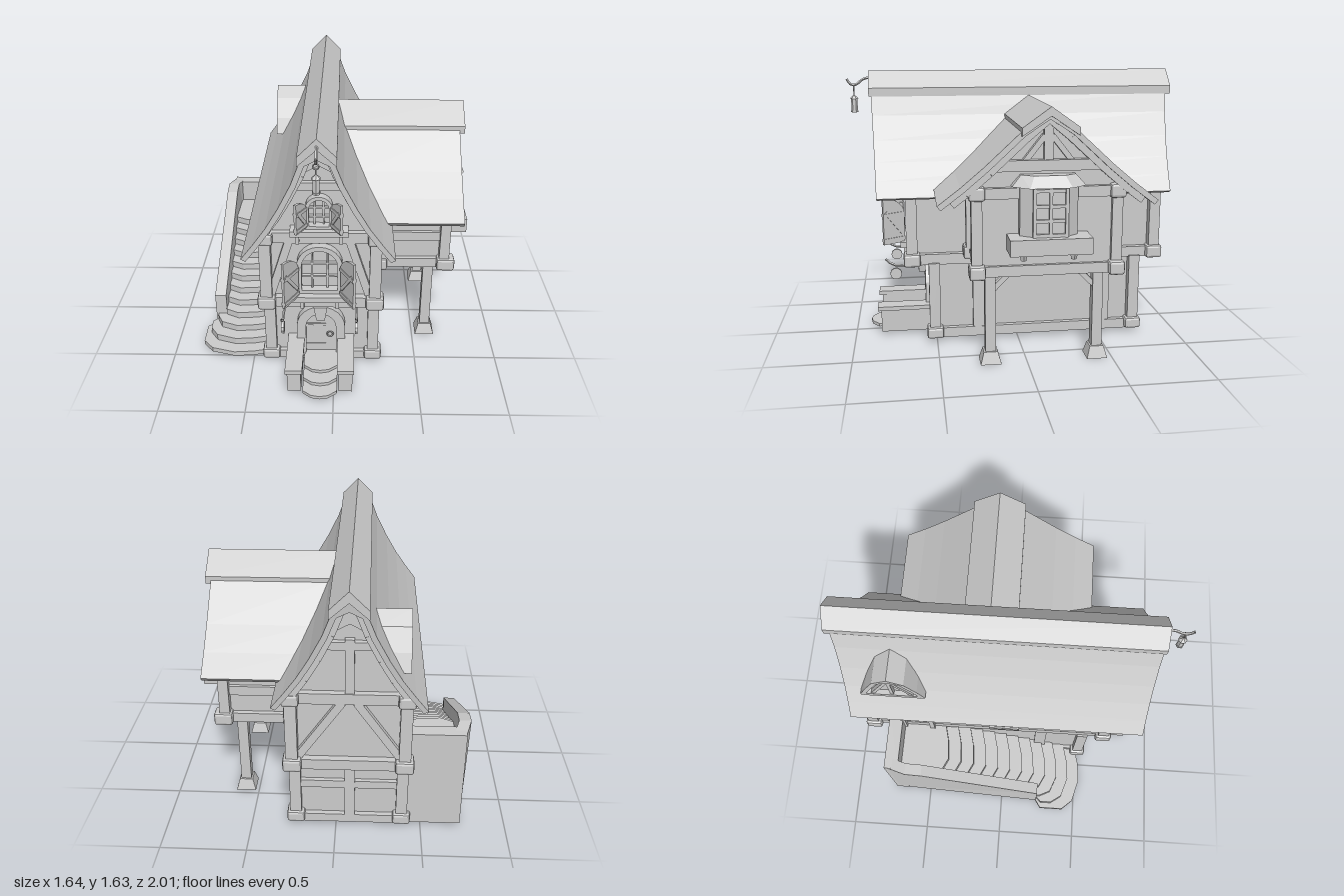
import * as THREE from 'three';
import { RoundedBoxGeometry } from 'three/addons/geometries/RoundedBoxGeometry.js';

const CX = -0.08, CZ = -0.1; // ridge lines of house and wing
const ROOF = [[0, 1.58], [0.09, 1.49], [0.135, 1.37], [0.205, 1.23], [0.275, 1.11], [0.345, 1.01], [0.413, 0.92]];
const WING = [[0, 1.45], [0.15, 1.35], [0.35, 1.165], [0.48, 1.055], [0.605, 0.96]];
const mat = new THREE.MeshStandardMaterial({ color: 0xcccccc, flatShading: true, side: THREE.DoubleSide });

export function createModel() {
  const root = new THREE.Group();
  let into = root;
  const V = (x, y, z) => new THREE.Vector3(x, y, z);
  const add = (name, geo, x = 0, y = 0, z = 0) => {
    const m = new THREE.Mesh(geo, mat);
    m.name = name;
    m.position.set(x, y, z);
    into.add(m);
    return m;
  };
  // box given by its limits
  const box = (name, x0, x1, y0, y1, z0, z1) =>
    add(name, new THREE.BoxGeometry(x1 - x0, y1 - y0, z1 - z0), (x0 + x1) / 2, (y0 + y1) / 2, (z0 + z1) / 2);
  const block = (name, x, y, z, w = 0.105, h = 0.08, d = 0.1) =>
    add(name, new RoundedBoxGeometry(w, h, d, 1, 0.015), x, y, z);
  // timber between two points
  const bar = (name, a, b, sx, sz) => {
    const d = b.clone().sub(a);
    const m = add(name, new THREE.BoxGeometry(sx, d.length(), sz));
    m.position.copy(a).add(b).multiplyScalar(0.5);
    m.quaternion.setFromUnitVectors(V(0, 1, 0), d.normalize());
  };
  // timbers following a roof line, stopping short of the eave
  const rafters = (name, points, sx, sz) => {
    const end = points.length - 1;
    points[end].lerp(points[end - 1], 0.4);
    for (let i = 0; i < end; i++) bar(name, points[i], points[i + 1], sx, sz);
  };
  const poly = pts => new THREE.Shape(pts.map(p => new THREE.Vector2(p[0], p[1])));
  const extrude = (shape, depth) =>
    new THREE.ExtrudeGeometry(shape, { depth, bevelEnabled: false, curveSegments: 6 });
  const mirror = half => [...half.slice().reverse().map(([d, y]) => [-d, y]), ...half.slice(1)];
  // symmetric roof section with thickness
  const chevron = (half, dx, dy, peak) => {
    const under = half.map(([d, y], i) => i ? [d - dx, y - dy] : [0, y - peak]);
    return poly([...mirror(half), ...mirror(under).reverse()]);
  };
  const moveVerts = (geo, fn) => {
    const p = geo.attributes.position, v = V(0, 0, 0);
    for (let i = 0; i < p.count; i++) {
      fn(v.fromBufferAttribute(p, i));
      p.setXYZ(i, v.x, v.y, v.z);
    }
    geo.computeVertexNormals();
    return geo;
  };
  // horizontal outline of [x, z] raised from y0 to y1
  const slab = (name, pts, y0, y1) =>
    add(name, extrude(poly(pts.map(([x, z]) => [x, -z])), y1 - y0).rotateX(-Math.PI / 2), 0, y0, 0);
  const roofX = y => { // half width of the main roof at a height
    for (let i = 1; i < ROOF.length; i++) {
      const [d0, y0] = ROOF[i - 1], [d1, y1] = ROOF[i];
      if (y >= y1) return d0 + (d1 - d0) * Math.min(1, Math.max(0, (y0 - y) / (y0 - y1)));
    }
    return 0.41;
  };
  const group = (name, x, y, z, ry, fn) => {
    const g = new THREE.Group(), old = into;
    g.name = name;
    g.position.set(x, y, z);
    g.rotation.y = ry;
    old.add(g);
    into = g;
    fn();
    into = old;
  };
  const arch = (s, w, h, y = 0) => {
    s.moveTo(-w / 2, y);
    s.lineTo(w / 2, y);
    s.lineTo(w / 2, h - w / 2);
    s.absarc(0, h - w / 2, w / 2, 0, Math.PI, false);
    s.closePath();
    return s;
  };
  const archFrame = (name, w, h, t, depth, y = 0.001) => {
    const s = arch(new THREE.Shape(), w, h);
    s.holes.push(arch(new THREE.Path(), w - 2 * t, h - t, y));
    add(name, extrude(s, depth));
  };
  const archWindow = (w, h, t) => {
    archFrame('windowFrame', w, h, t, 0.05, t);
    for (const x of [-w / 6, w / 6]) box('mullion', x - 0.005, x + 0.005, t, h - t * 1.3, 0, 0.02);
    for (const k of [0.33, 0.6]) box('glazingBar', -w / 2 + t, w / 2 - t, h * k - 0.005, h * k + 0.005, 0, 0.02);
  };
  // open shutter, swung outward from its hinge
  const shutter = (s, w, h, x, y, z) => group('shutter', x, y, z, -s * 1.05, () => {
    const sh = new THREE.Shape();
    sh.moveTo(0, 0);
    sh.lineTo(s * w, 0);
    sh.lineTo(s * w, h);
    sh.quadraticCurveTo(s * w * 0.2, h * 0.97, 0, h * 0.68);
    sh.closePath();
    add('shutterBoard', extrude(sh, 0.015));
    bar('shutterBrace', V(s * 0.015, h * 0.2, 0.008), V(s * (w - 0.015), h * 0.7, 0.008), 0.02, 0.025);
    for (const k of [0.06, 0.6]) box('shutterRail', Math.min(0, s * w), Math.max(0, s * w), h * k, h * k + 0.02, -0.005, 0.02);
  });

  // House walls, the lower storey open underneath
  const lower = poly([[-0.38, -0.51], [0.22, -0.51], [0.22, 0.73], [-0.38, 0.73]]);
  lower.holes.push(poly([[-0.35, -0.48], [0.19, -0.48], [0.19, 0.7], [-0.35, 0.7]]));
  add('lowerWalls', extrude(lower, 0.49).rotateX(-Math.PI / 2), 0, 0.03, 0);
  const gable = [[0, 1.54], [0.07, 1.46], [0.11, 1.35], [0.18, 1.21], [0.25, 1.09], [0.3, 1.01], [0.3, 0.5]];
  add('upperWalls', extrude(poly(mirror(gable)), 1.45), CX, 0, -0.83);

  // House timber frame
  for (const x of [-0.385, 0.235]) {
    const s = x < 0 ? -1 : 1, wx = x - s * 0.005;
    for (const z of [0.51, -0.73]) {
      box('lowerPost', x - 0.033, x + 0.033, 0.05, 0.5, z - 0.033, z + 0.033);
      block('postFoot', x, 0.06, z, 0.105, 0.07, 0.1);
    }
    for (const z of [0.64, -0.85]) {
      box('upperPost', x - 0.033, x + 0.033, 0.52, 0.95, z - 0.033, z + 0.033);
      block('postBlock', x, 0.525, z);
      block('postHead', x, 0.945, z, 0.095, 0.075, 0.09);
    }
    box('sillBeam', wx - 0.02, wx + 0.02, 0.02, 0.08, -0.73, 0.51);
    box('floorBeam', wx - 0.025, wx + 0.025, 0.49, 0.555, -0.85, 0.64);
    box('eaveBeam', wx - 0.02, wx + 0.02, 0.91, 0.96, -0.85, 0.64);
    for (const z of [0.24, -0.54]) box('sideStud', wx - 0.018, wx + 0.018, 0.08, 0.5, z - 0.037, z + 0.037);
  }
  for (const [s, low, up] of [[1, 0.52, 0.63], [-1, -0.74, -0.84]]) {
    box('endSill', -0.385, 0.235, 0.02, 0.075, low - 0.02, low + 0.02);
    box('endFloorBeam', -0.385, 0.235, 0.49, 0.555, up - 0.03, up + 0.03);
    box('endTieBeam', -0.385, 0.235, 0.915, 0.98, up - 0.025, up + 0.025);
    for (const m of [-1, 1]) {
      rafters('gableRafter', ROOF.slice(1).map(([d, y]) => V(CX + m * (d - 0.038), y - 0.03, up + s * 0.02)), 0.045, 0.06);
      bar('cornerBrace', V(CX + m * 0.28, 0.57, up), V(CX + m * (s > 0 ? 0.17 : 0.04), 0.92, up), 0.045, 0.04);
    }
    box('collarBeam', CX - 0.12, CX + 0.12, 1.24, 1.285, up - 0.02, up + 0.02);
    add('gablePeak', extrude(poly([[-0.09, 1.34], [0, 1.39], [0.09, 1.34], [0, 1.53]]), 0.05), CX, 0, up - 0.02);
  }
  box('backStud', -0.11, -0.05, 0.07, 0.5, -0.76, -0.72);
  box('backRail', -0.385, 0.235, 0.27, 0.32, -0.755, -0.72);
  box('backKingPost', CX - 0.025, CX + 0.025, 0.95, 1.3, -0.86, -0.82);

  // Main roof, its ends drawn in toward the eaves
  const mainRoof = extrude(chevron(ROOF, 0.026, 0.014, 0.07), 1);
  add('mainRoof', moveVerts(mainRoof, v => {
    const k = (1.58 - v.y) / 0.66;
    v.z = v.z > 0.5 ? 0.86 - 0.025 * k : -0.98 + 0.06 * k;
  }), CX);
  add('ridgeCap', extrude(chevron([[0, 1.63], [0.1, 1.53]], 0, 0.05, 0.06), 1.87), CX, 0, -1);

  // Side wing
  const alongX = (shape, len) => extrude(shape, len).rotateY(Math.PI / 2);
  add('wingWalls', alongX(poly(mirror([[0, 1.41], [0.14, 1.32], [0.34, 1.14], [0.37, 1.11], [0.37, 0.56]])), 0.5), 0.17, 0, CZ);
  const wingRoof = alongX(chevron(WING, 0.02, 0.025, 0.04), 1);
  add('wingRoof', moveVerts(wingRoof, v => {
    v.x = v.x > 0.5 ? 0.74 : CX + roofX(v.y) - 0.012;
  }), 0, 0, CZ);
  add('wingRidgeCap', alongX(chevron([[0, 1.48], [0.155, 1.37]], 0, 0.045, 0.05), 0.75), 0.02, 0, CZ);
  box('wingFloor', 0.2, 0.69, 0.54, 0.6, -0.5, 0.3);
  for (const s of [-1, 1]) {
    const z = CZ + s * 0.39, zs = CZ + s * 0.31;
    for (const x of [0.29, 0.665]) {
      box('wingPost', x - 0.03, x + 0.03, 0.56, 1.0, z - 0.03, z + 0.03);
      block('wingPostBlock', x < 0.5 ? 0.265 : 0.675, 0.572, z, 0.11, 0.08, 0.09);
    }
    block('wingPostHead', 0.67, 1.01, z, 0.09, 0.08, 0.09);
    box('wingRail', 0.25, 0.68, 0.72, 0.78, z - s * 0.015 - 0.015, z - s * 0.015 + 0.015);
    box('wingEaveBeam', 0.25, 0.68, 0.97, 1.03, z - 0.02, z + 0.02);
    // stilts with tapered feet
    box('stilt', 0.55, 0.612, 0.04, 0.55, zs - 0.03, zs + 0.03);
    add('stiltFoot', new THREE.CylinderGeometry(0.057, 0.085, 0.07, 4).rotateY(Math.PI / 4), 0.581, 0.035, zs);
    bar('stiltBrace', V(0.581, 0.42, zs), V(0.581, 0.54, zs - s * 0.12), 0.04, 0.03);
    rafters('wingRafter', WING.map(([d, y]) => V(0.69, y - 0.04, CZ + s * Math.max(0, d - 0.03))), 0.06, 0.04);
    bar('wingGableBrace', V(0.68, 1.18, CZ + s * 0.13), V(0.68, 1.32, CZ + s * 0.02), 0.04, 0.03);
  }
  box('wingTieBeam', 0.65, 0.7, 0.98, 1.04, -0.49, 0.29);
  box('wingCollar', 0.65, 0.71, 1.13, 1.19, CZ - 0.32, CZ + 0.32);
  box('wingKingPost', 0.65, 0.7, 1.17, 1.4, CZ - 0.025, CZ + 0.025);

  // Bay window with a hipped roof
  const bay = k => [[0.66, CZ + 0.16 * k], [0.72, CZ + 0.16 * k], [0.69 + 0.08 * k, CZ + 0.09 * k],
    [0.69 + 0.08 * k, CZ - 0.09 * k], [0.72, CZ - 0.16 * k], [0.66, CZ - 0.16 * k]];
  slab('bayBody', bay(1), 0.76, 1.06);
  const bayRoof = slab('bayRoof', bay(1.27), 1.05, 1.11);
  moveVerts(bayRoof.geometry, v => {
    if (v.y > 0.03) { v.z = CZ + (v.z - CZ) * 0.74; v.x = 0.66 + (v.x - 0.66) * 0.6; }
  });
  box('flowerBox', 0.67, 0.82, 0.69, 0.78, CZ - 0.225, CZ + 0.225);
  for (const z of [0.04, -0.24]) add('bayBracket', new THREE.CylinderGeometry(0.025, 0.015, 0.05, 4), 0.73, 0.665, z);
  for (const z of [-0.012, -0.1, -0.188]) box('bayMullion', 0.76, 0.785, 0.78, 1.05, z - 0.009, z + 0.009);
  for (const y of [0.79, 0.87, 0.95, 1.035]) box('bayGlazingBar', 0.76, 0.783, y - 0.009, y + 0.009, -0.19, -0.01);

  // Front windows with open shutters
  group('frontWindow', CX, 0.585, 0.62, 0, () => archWindow(0.26, 0.315, 0.028));
  group('atticWindow', CX, 1.01, 0.62, 0, () => archWindow(0.15, 0.2, 0.02));
  for (const s of [-1, 1]) {
    shutter(s, 0.145, 0.29, CX + s * 0.13, 0.585, 0.68);
    shutter(s, 0.1, 0.18, CX + s * 0.08, 1.025, 0.665);
    box('sillBracket', CX + s * 0.1 - 0.01, CX + s * 0.1 + 0.01, 0.5, 0.56, 0.65, 0.69);
    box('atticBracket', CX + s * 0.12 - 0.01, CX + s * 0.12 + 0.01, 0.93, 0.98, 0.65, 0.69);
  }
  box('frontSill', CX - 0.17, CX + 0.17, 0.555, 0.59, 0.62, 0.71);
  box('atticSill', CX - 0.16, CX + 0.16, 0.98, 1.012, 0.62, 0.7);

  // Front door, surround and porch
  group('frontDoor', CX, 0.05, 0.5, 0, () => {
    archFrame('doorSurround', 0.29, 0.37, 0.055, 0.06);
    box('doorLeaf', -0.09, 0.09, 0.02, 0.29, 0, 0.035);
    for (const y of [0.07, 0.22]) box('doorHinge', -0.09, 0.03, y, y + 0.014, 0.03, 0.042);
    add('doorRing', new THREE.TorusGeometry(0.018, 0.005, 4, 10), 0.055, 0.16, 0.045);
    add('keystone', extrude(poly([[-0.025, 0.3], [0.025, 0.3], [0.04, 0.39], [-0.04, 0.39]]), 0.1));
  });
  for (const s of [-1, 1]) {
    const x = CX + s * 0.15;
    box('porchWall', x - 0.04, x + 0.04, 0.02, 0.16, 0.5, 0.84);
    box('porchCap', x - 0.05, x + 0.05, 0.16, 0.185, 0.5, 0.86);
    // hanging lamps beside the door
    const lx = CX + s * 0.21;
    box('lampPlate', lx - 0.03, lx + 0.03, 0.43, 0.49, 0.5, 0.54);
    const arm = new THREE.CatmullRomCurve3([V(lx, 0.47, 0.53), V(lx, 0.455, 0.68), V(lx, 0.465, 0.76), V(lx, 0.5, 0.8)]);
    add('lampArm', new THREE.TubeGeometry(arm, 8, 0.008, 5));
    add('hangingLamp', new THREE.CylinderGeometry(0.036, 0.036, 0.016, 10).rotateZ(Math.PI / 2), lx, 0.405, 0.74);
  }
  [0.91, 0.82, 0.73].forEach((z, i) =>
    slab('porchStep', [[-0.18, 0.5], [-0.18, z - 0.05], [-0.13, z - 0.01], [CX, z], [-0.03, z - 0.01], [0.02, z - 0.05], [0.02, 0.5]], 0.02, 0.04 + i * 0.02));

  // Left staircase with rising wall
  for (let i = 0; i < 12; i++) {
    const z = 0.52 - i * 0.08, f = Math.max(0, 3 - i) * 0.035;
    slab('stairStep', [[-0.38, -0.66], [-0.38, z - 0.03], [-0.5, z], [-0.62, z + 0.01], [-0.7 - f * 0.6, z - 0.03],
      [-0.72 - f, z - 0.1], [-0.72 - f, Math.min(0.27, z - 0.12)], [-0.72, Math.min(0.2, z - 0.13)], [-0.72, -0.66]], i ? 0.03 : 0.02, 0.05 + i * 0.041);
  }
  const sideWall = alongX(poly([[0.73, 0.01], [0.73, 0.64], [0.6, 0.655], [0.5, 0.64], [0.2, 0.49], [-0.24, 0.27], [-0.24, 0.01]]), 0.07);
  add('stairSideWall', moveVerts(sideWall, v => { v.x += 0.04 * Math.max(0, -v.z - 0.6) / 0.13; }), -0.77);
  box('stairBackWall', -0.735, -0.38, 0.01, 0.645, -0.735, -0.65);

  // Upper door and window on the left wall
  group('stairDoor', -0.38, 0.5, -0.56, -Math.PI / 2, () => {
    box('upperDoorLeaf', -0.08, 0.08, 0, 0.32, 0, 0.02);
    for (const x of [-0.09, 0.09]) box('upperDoorJamb', x - 0.015, x + 0.015, 0, 0.34, 0, 0.045);
    box('upperDoorLintel', -0.115, 0.115, 0.325, 0.36, 0, 0.05);
  });
  group('sideWindow', -0.38, 0.66, 0.0, -Math.PI / 2, () => {
    archWindow(0.15, 0.21, 0.022);
    box('sideSill', -0.095, 0.095, -0.02, 0.012, 0, 0.06);
  });

  // Dormer on the left slope
  group('dormer', -0.4, 0, -0.65, 0, () => {
    const roof = alongX(chevron([[0, 1.38], [0.09, 1.32], [0.15, 1.2], [0.19, 1.1]], 0.025, 0.01, 0.035), 1);
    add('dormerRoof', moveVerts(roof, v => { v.x = v.x > 0.5 ? 0.335 - roofX(v.y) : 0; }));
    const face = alongX(poly([[-0.15, 1.1], [0.15, 1.1], [0.08, 1.3], [0, 1.35], [-0.08, 1.3]]), 0.02);
    add('dormerFace', face, 0.03);
    box('dormerSill', 0, 0.05, 1.09, 1.125, -0.16, 0.16);
    for (const s of [-1, 0, 1]) bar('dormerBar', V(0.02, 1.11, s * 0.12), V(0.02, 1.35, 0), 0.03, 0.02);
  });

  // Lantern hung from the ridge
  const hook = new THREE.CatmullRomCurve3([V(CX, 1.59, 0.85), V(CX, 1.58, 0.9), V(CX, 1.545, 0.95), V(CX, 1.55, 0.98), V(CX, 1.58, 1.0)]);
  add('lanternHook', new THREE.TubeGeometry(hook, 10, 0.008, 5));
  add('lanternRing', new THREE.TorusGeometry(0.015, 0.004, 4, 8), CX, 1.525, 0.96);
  add('lanternChain', new THREE.CylinderGeometry(0.004, 0.004, 0.04, 5), CX, 1.495, 0.96);
  add('lanternCap', new THREE.ConeGeometry(0.026, 0.025, 6), CX, 1.475, 0.96);
  add('lanternBody', new THREE.CylinderGeometry(0.019, 0.019, 0.075, 6), CX, 1.425, 0.96);
  add('lanternBase', new THREE.CylinderGeometry(0.023, 0.023, 0.01, 6), CX, 1.385, 0.96);
  return root;
}
